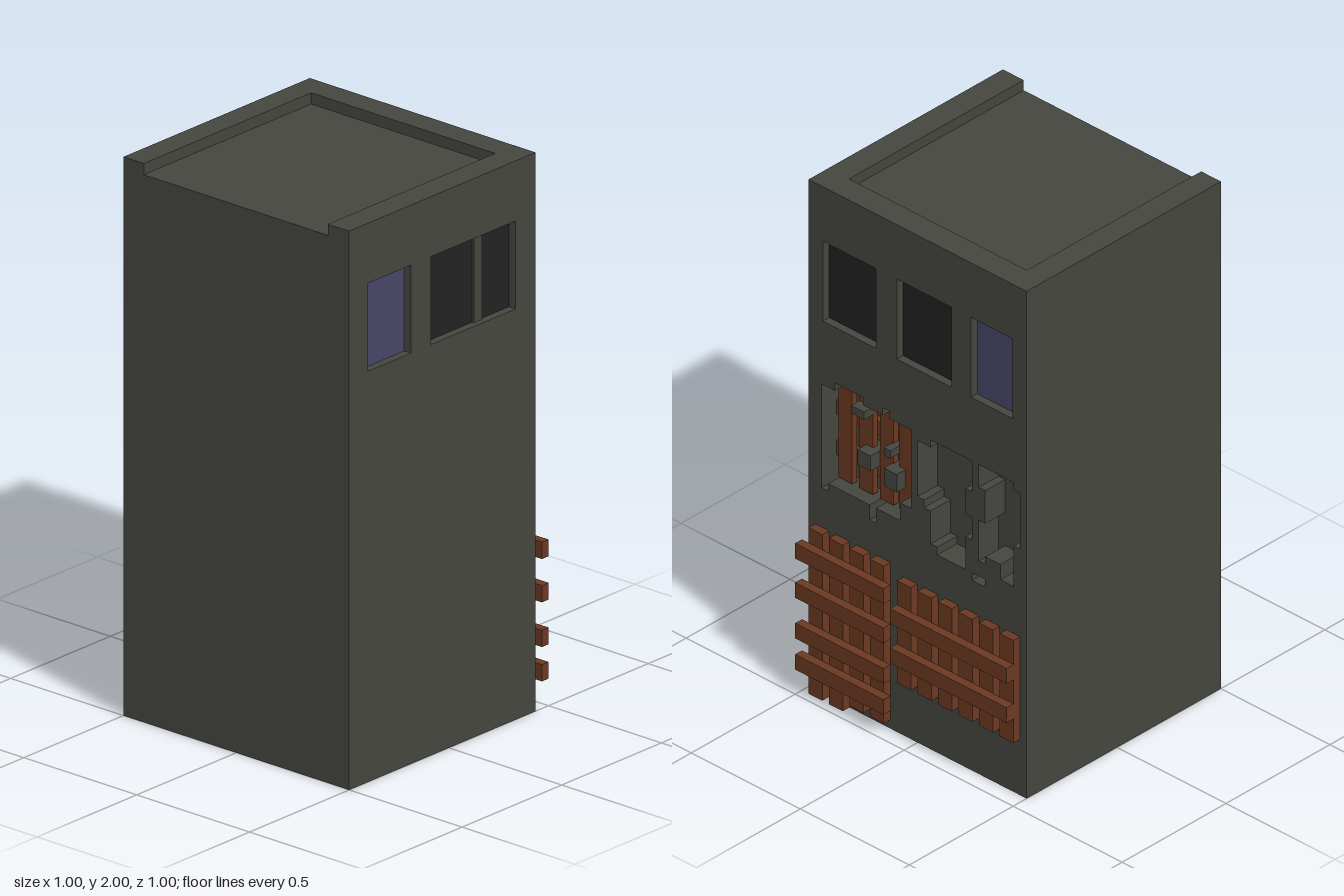
import * as THREE from 'three';

const WALL_X = 0.435; // outer face of the right wall
const INNER_X = 0.34; // back of the right wall
const INNER_Z = 0.405; // back of the front wall
const RECESS = 0.03;

export function createModel() {
  const building = new THREE.Group();
  building.name = 'building';

  const material = (name, color) => {
    const m = new THREE.MeshStandardMaterial({ color });
    m.name = name;
    return m;
  };
  const concrete = material('concrete', 0x45463f);
  const wood = material('wood', 0x6b3921);
  const dark = material('darkOpening', 0x222222);
  const glass = material('blueGlass', 0x464668);

  // Box given by its lower and upper limits on each axis
  const box = (name, mat, [x0, x1], [y0, y1], [z0, z1], parent = building) => {
    const mesh = new THREE.Mesh(new THREE.BoxGeometry(x1 - x0, y1 - y0, z1 - z0), mat);
    mesh.position.set((x0 + x1) / 2, (y0 + y1) / 2, (z0 + z1) / 2);
    mesh.name = name;
    parent.add(mesh);
    return mesh;
  };
  const rect = (u0, u1, v0, v1) => [[u0, v0], [u1, v0], [u1, v1], [u0, v1]];
  const toPath = (pts, Type = THREE.Path) => new Type(pts.map(([u, v]) => new THREE.Vector2(u, v)));
  const wall = (name, outline, holes, depth) => {
    const shape = toPath(outline, THREE.Shape);
    shape.holes = holes.map((h) => toPath(h));
    const mesh = new THREE.Mesh(new THREE.ExtrudeGeometry(shape, { depth, bevelEnabled: false }), concrete);
    mesh.name = name;
    building.add(mesh);
    return mesh;
  };

  // Core with the sunken roof, open towards the left side
  box('roofCore', concrete, [-0.5, INNER_X], [0, 1.96], [-0.41, INNER_Z]);
  box('backWall', concrete, [-0.5, INNER_X], [0, 2], [-0.5, -0.41]);

  // Front wall with its windows
  const top = [1.47, 1.785];
  const frontWindows = [[-0.405, -0.19], [-0.09, 0.335]];
  const front = wall('frontWall', rect(-0.5, INNER_X, 0, 2),
    frontWindows.map(([a, b]) => rect(a, b, ...top)), 0.5 - INNER_Z);
  front.position.z = INNER_Z;
  const paneZ = [0.5 - RECESS - 0.008, 0.5 - RECESS];
  box('frontBluePane', glass, frontWindows[0], top, paneZ);
  box('frontDarkPane', dark, frontWindows[1], top, paneZ);
  box('frontMullion', concrete, [0.15, 0.19], top, [0.465, 0.478]);

  // Right wall: two storeys of windows and a row of ragged holes, as z and y
  const low = [0.28, 0.6];
  const bays = [[0.19, 0.435], [-0.155, 0.095], [-0.435, -0.245]];
  const ragged = [
    [[0.44, 1.22], [0.38, 1.22], [0.38, 1.25], [0.25, 1.25], [0.25, 1.22], [0.16, 1.22], [0.16, 1.25],
      [0.13, 1.25], [0.13, 1.22], [0.03, 1.22], [0.03, 0.91], [0.08, 0.91], [0.08, 0.84], [0.19, 0.84],
      [0.19, 0.78], [0.22, 0.78], [0.22, 0.84], [0.41, 0.84], [0.41, 0.81], [0.44, 0.81]],
    [[0, 1.19], [-0.06, 1.19], [-0.06, 1.22], [-0.25, 1.22], [-0.25, 1.1], [-0.22, 1.1], [-0.22, 1],
      [-0.25, 1], [-0.25, 0.91], [-0.22, 0.91], [-0.22, 0.78], [-0.09, 0.78], [-0.09, 0.81],
      [-0.06, 0.81], [-0.06, 0.94], [-0.03, 0.94], [-0.03, 0.97], [0, 0.97]],
    [[-0.28, 1.22], [-0.44, 1.22], [-0.44, 1.19], [-0.47, 1.19], [-0.47, 0.97], [-0.44, 0.97],
      [-0.44, 0.81], [-0.38, 0.81], [-0.38, 0.87], [-0.31, 0.87], [-0.31, 0.84], [-0.28, 0.84],
      [-0.28, 1], [-0.31, 1], [-0.31, 1.13], [-0.28, 1.13]],
    rect(-0.31, -0.25, 0.75, 0.78),
  ];
  const openings = [...ragged];
  for (const span of [top, low]) for (const [a, b] of bays) openings.push(rect(a, b, ...span));
  const right = wall('rightWall', rect(-0.5, 0.5, 0, 2),
    openings.map((pts) => pts.map(([z, y]) => [-z, y])), WALL_X - INNER_X);
  right.rotation.y = Math.PI / 2;
  right.position.x = INNER_X;

  // Right window panes: upper ones whole, lower ones broken
  const paneX = [WALL_X - RECESS - 0.008, WALL_X - RECESS];
  bays.forEach((z, i) => {
    box('upperPane', i === 2 ? glass : dark, paneX, top, z);
    box('lowerPane', dark, paneX, low, z);
  });
  const shardX = [paneX[1], paneX[1] + 0.004];
  box('glassShard', glass, shardX, [0.28, 0.38], [0.35, 0.435]);
  box('glassShard', glass, shardX, [0.28, 0.31], [0.26, 0.35]);
  box('glassShard', glass, shardX, [0.5, 0.6], [-0.155, -0.07]);
  box('glassShard', glass, shardX, [0.5, 0.6], [-0.435, -0.34]);

  // Boards and leftover masonry inside the first ragged hole
  for (const y of [0.91, 1.07]) box('holeCrossBoard', wood, [INNER_X, 0.365], [y, y + 0.055], [0.03, 0.44]);
  for (const z of [0.345, 0.25, 0.155, 0.065]) {
    box('holeUprightBoard', wood, [0.365, 0.388], [0.845, 1.22], [z, z + 0.063]);
  }
  const chunks = [[0.25, 0.31, 1.16, 1.19], [0.22, 0.28, 0.97, 1.03], [0.1, 0.16, 0.94, 1.01], [0.13, 0.16, 1.06, 1.09]];
  for (const [z0, z1, y0, y1] of chunks) box('masonryChunk', concrete, [INNER_X, WALL_X - 0.005], [y0, y1], [z0, z1]);

  // Slatted barricades leaning flat against the right wall
  const barricade = (name, uprights, rails, railZ) => {
    const group = new THREE.Group();
    group.name = name;
    for (const [z, y0, y1] of uprights) box('upright', wood, [WALL_X, 0.467], [y0, y1], [z, z + 0.063], group);
    for (const y of rails) box('rail', wood, [0.467, 0.5], [y, y + 0.06], railZ, group);
    building.add(group);
  };
  barricade('frontBarricade',
    [[0.407, 0, 0.655], [0.313, 0, 0.655], [0.218, 0.035, 0.655], [0.125, 0.035, 0.655]],
    [0.535, 0.38, 0.22, 0.097], [0.095, 0.5]);
  barricade('backBarricade',
    [0, 1, 2, 3, 4, 5].map((i) => [-0.47 + i * 0.0942, 0.22, 0.625]),
    [0.47, 0.315], [-0.47, 0.065]);

  return building;
}
